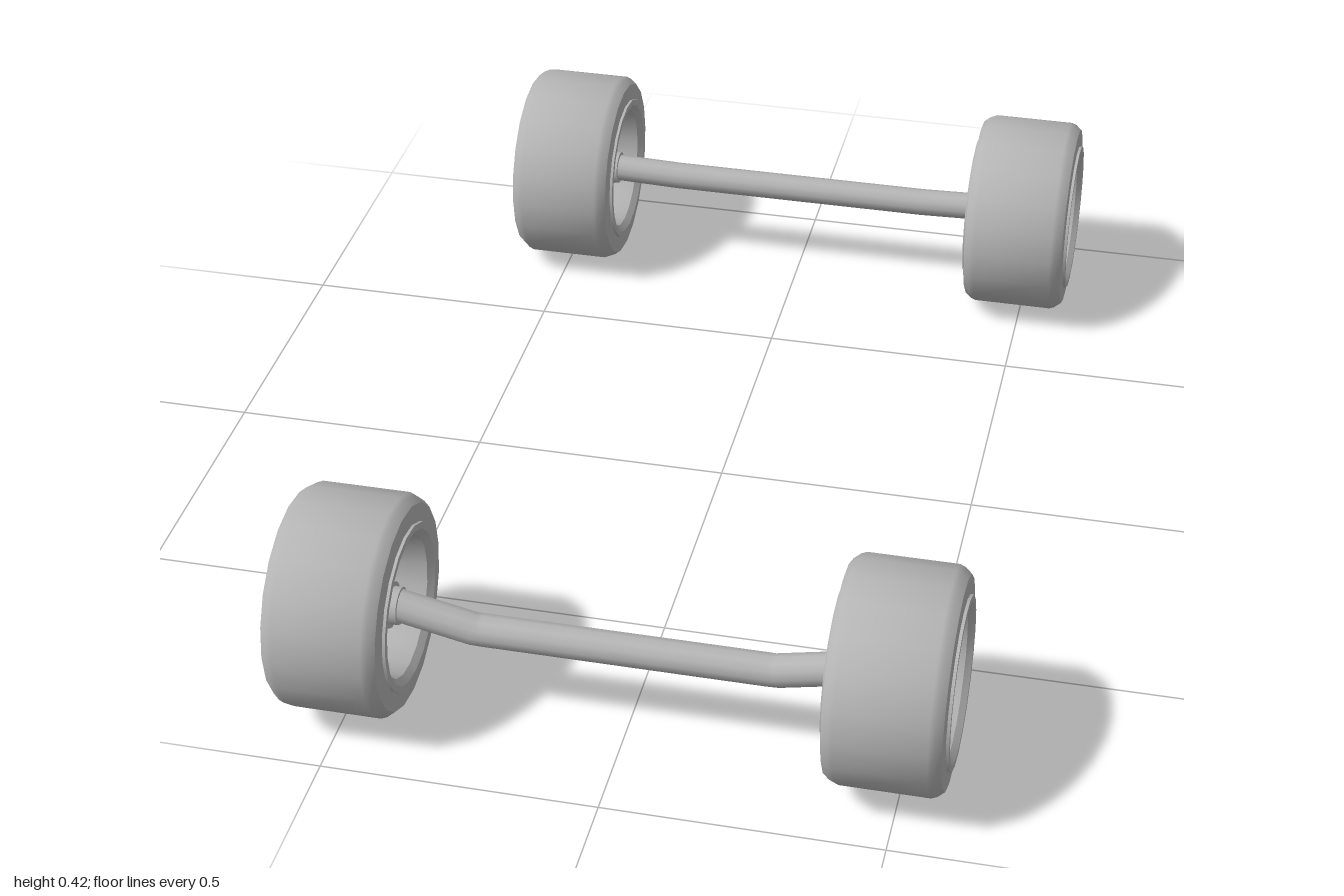
import * as THREE from 'three';
import { toCreasedNormals } from 'three/addons/utils/BufferGeometryUtils.js';

const SIDES = 20;
const grey = new THREE.MeshStandardMaterial({ color: 0xb4b4b4 });
grey.name = 'plain grey';

function add(parent, name, geometry) {
  const mesh = new THREE.Mesh(geometry, grey);
  mesh.name = name;
  parent.add(mesh);
  return mesh;
}

// Closed ring around the x axis from [radius, x] points
function ring(points) {
  const profile = [...points, points[0]].map(([r, x]) => new THREE.Vector2(r, x));
  return toCreasedNormals(new THREE.LatheGeometry(profile, SIDES).rotateZ(-Math.PI / 2), 0.5);
}

// Cylinder along x between two positions
function disc(r0, r1, x0, x1, sides = SIDES) {
  return new THREE.CylinderGeometry(r1, r0, x1 - x0, sides)
    .rotateZ(-Math.PI / 2).translate((x0 + x1) / 2, 0, 0);
}

// Wheel with its outer face towards +x
function makeWheel(name) {
  const wheel = new THREE.Group();
  wheel.name = name;

  add(wheel, 'tyre', ring([
    [0.145, -0.104], [0.186, -0.102], [0.196, -0.09], [0.2, -0.08],
    [0.2, 0.08], [0.196, 0.09], [0.186, 0.102], [0.145, 0.104],
  ]));
  add(wheel, 'rim', ring([
    [0.128, -0.098], [0.14, -0.109], [0.152, -0.109], [0.152, 0.109],
    [0.14, 0.109], [0.13, 0.098], [0.124, 0.07], [0.122, -0.06],
  ]));

  // Hub with a stub reaching inwards to the axle
  add(wheel, 'hubDisc', disc(0.066, 0.06, 0.035, 0.06));
  add(wheel, 'hubCap', disc(0.024, 0.02, 0.055, 0.085));
  add(wheel, 'hubStub', disc(0.034, 0.034, -0.09, 0.04));
  add(wheel, 'hubCollar', disc(0.042, 0.042, -0.075, -0.045));

  // Flat spokes with a raised rounded rib on each
  for (let i = 0; i < 8; i++) {
    const spoke = new THREE.Group();
    spoke.name = 'spoke';
    spoke.rotation.x = i * Math.PI / 4;
    add(spoke, 'spokeBar', new THREE.BoxGeometry(0.024, 0.085, 0.032).translate(0.047, 0.085, 0));
    add(spoke, 'spokeRib', new THREE.CapsuleGeometry(0.012, 0.065, 4, 8).translate(0.063, 0.077, 0));
    wheel.add(spoke);
  }

  // Wheel nuts around the cap
  for (let i = 0; i < 5; i++) {
    const a = i * Math.PI * 2 / 5;
    add(wheel, 'wheelNut', disc(0.007, 0.007, 0.055, 0.078, 6)
      .translate(0, 0.034 * Math.cos(a), 0.034 * Math.sin(a)));
  }
  return wheel;
}

// Straight tube whose ends rise towards the hubs
function makeAxle(name, z, midY, endY, radius) {
  const points = [[-0.43, endY], [-0.27, midY], [0.27, midY], [0.43, endY]]
    .map(([x, y]) => new THREE.Vector3(x, y, z));
  const path = new THREE.CurvePath();
  for (let i = 0; i < 3; i++) path.add(new THREE.LineCurve3(points[i], points[i + 1]));
  const mesh = new THREE.Mesh(new THREE.TubeGeometry(path, 48, radius, 12), grey);
  mesh.name = name;
  return mesh;
}

export function createModel() {
  const model = new THREE.Group();
  model.name = 'wheelsAndAxles';
  const wheels = [
    ['frontLeftWheel', 0.482, 0.217, 0.8],
    ['frontRightWheel', -0.491, 0.217, 0.8],
    ['rearLeftWheel', 0.488, 0.2, -0.8],
    ['rearRightWheel', -0.491, 0.2, -0.8],
  ];
  for (const [name, x, y, z] of wheels) {
    const wheel = makeWheel(name);
    wheel.position.set(x, y, z);
    if (x < 0) wheel.rotation.y = Math.PI;
    model.add(wheel);
  }
  model.add(makeAxle('frontAxle', 0.798, 0.187, 0.222, 0.03));
  model.add(makeAxle('rearAxle', -0.802, 0.195, 0.2, 0.028));
  return model;
}
